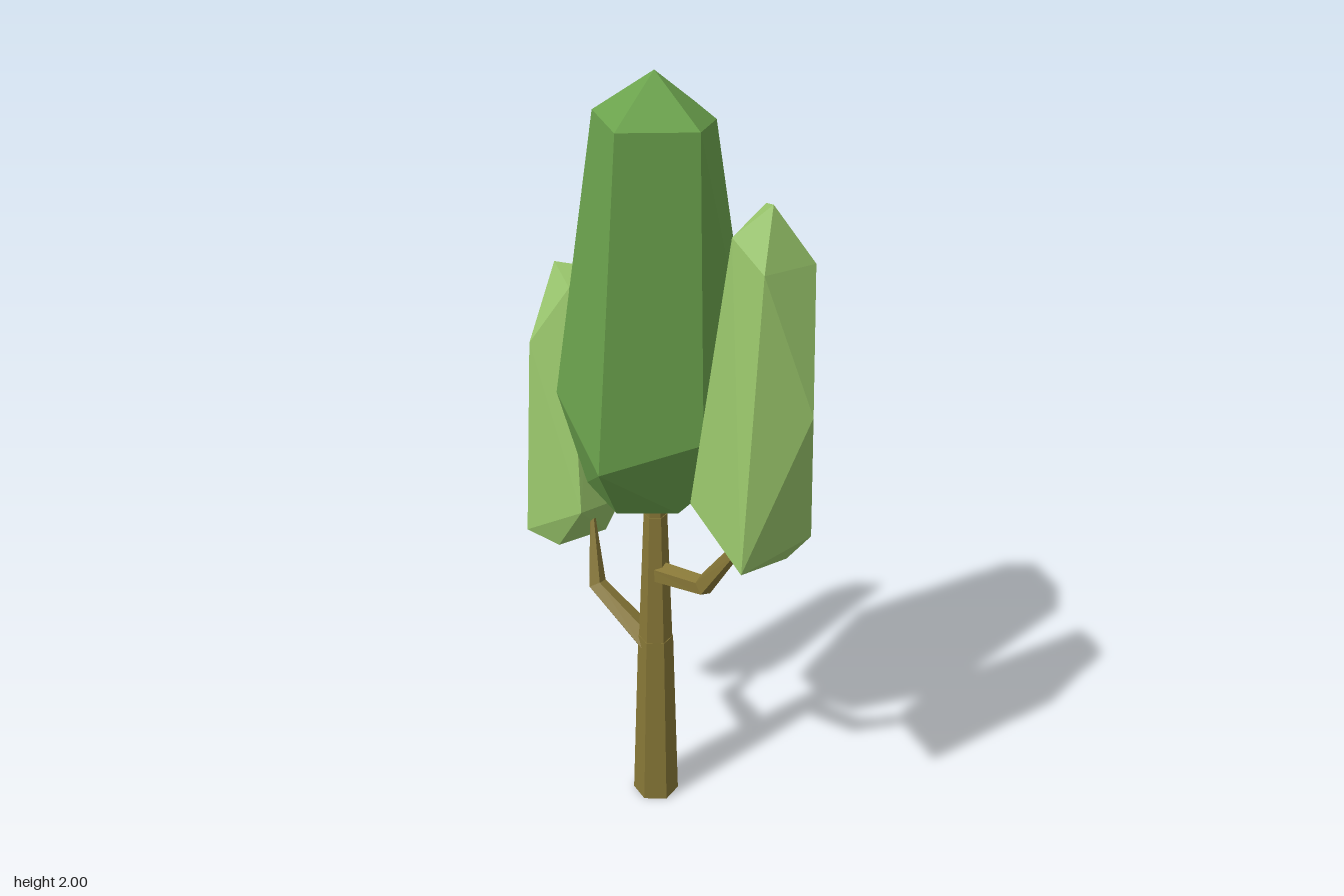
import * as THREE from 'three';
import { ConvexGeometry } from 'three/addons/geometries/ConvexGeometry.js';

const mat = (name, color) => {
  const m = new THREE.MeshStandardMaterial({ color, flatShading: true });
  m.name = name;
  return m;
};

// Faceted foliage clump from its corner points
function clump(name, corners, material) {
  const geo = new ConvexGeometry(corners.map((p) => new THREE.Vector3(...p)));
  const mesh = new THREE.Mesh(geo, material);
  mesh.name = name;
  return mesh;
}

// Tapered bent limb: a ring of corners around each path point
function limb(name, path, radii, material, sides = 5) {
  const pts = path.map((p) => new THREE.Vector3(...p));
  const out = pts[pts.length - 1].clone().sub(pts[0]).setY(0);
  const side = new THREE.Vector3(0, 1, 0).cross(out).normalize();
  const pos = [], index = [];
  pts.forEach((p, i) => {
    const before = p.clone().sub(pts[Math.max(i - 1, 0)]).normalize();
    const after = pts[Math.min(i + 1, pts.length - 1)].clone().sub(p).normalize();
    const t = before.add(after).normalize();
    const u = side.clone().addScaledVector(t, -side.dot(t)).normalize();
    const v = t.clone().cross(u);
    for (let k = 0; k < sides; k++) {
      const a = (k / sides) * Math.PI * 2;
      const q = p.clone().addScaledVector(u, Math.cos(a) * radii[i]).addScaledVector(v, Math.sin(a) * radii[i]);
      pos.push(q.x, q.y, q.z);
    }
  });
  for (let i = 0; i < pts.length - 1; i++) {
    for (let k = 0; k < sides; k++) {
      const a = i * sides + k, b = i * sides + ((k + 1) % sides);
      index.push(a, b, b + sides, a, b + sides, a + sides);
    }
  }
  const geo = new THREE.BufferGeometry();
  geo.setAttribute('position', new THREE.Float32BufferAttribute(pos, 3));
  geo.setIndex(index);
  geo.computeVertexNormals();
  const mesh = new THREE.Mesh(geo, material);
  mesh.name = name;
  return mesh;
}

export function createModel() {
  const tree = new THREE.Group();
  tree.name = 'tree';
  const bark = mat('bark', 0x877737);
  const darkLeaf = mat('darkLeaf', 0x6ba24d);
  const lightLeaf = mat('lightLeaf', 0x99c66b);

  // Six-sided trunk in three stacked lengths
  const trunk = new THREE.Group();
  trunk.name = 'trunk';
  [[0, 0.505, 0.061, 0.046], [0.505, 0.875, 0.044, 0.03], [0.875, 0.99, 0.028, 0.026]].forEach(([y0, y1, r0, r1], i) => {
    const geo = new THREE.CylinderGeometry(r1, r0, y1 - y0, 6);
    geo.rotateY(Math.PI / 2);
    const part = new THREE.Mesh(geo, bark);
    part.name = 'trunkSection' + (i + 1);
    part.position.set(-0.019, (y0 + y1) / 2, -0.025);
    trunk.add(part);
  });
  tree.add(trunk);

  // Branches
  tree.add(limb('leftBranch', [[-0.02, 0.705, -0.025], [0.105, 0.735, 0.09], [0.185, 0.87, 0.135]], [0.03, 0.028, 0.016], bark));
  tree.add(limb('rightBranch', [[-0.02, 0.465, -0.025], [-0.18, 0.595, -0.135], [-0.19, 0.77, -0.18]], [0.036, 0.026, 0.008], bark));

  // Tall central crown: tip, shoulder ring, widest ring, base ring
  tree.add(clump('mainCrown', [
    [-0.02, 2, -0.03],
    [-0.16, 1.91, -0.03], [-0.04, 1.89, -0.175], [0.07, 1.89, -0.175],
    [0.12, 1.89, -0.03], [0.085, 1.9, 0.11], [-0.1, 1.91, 0.155],
    [-0.26, 1.21, -0.03], [-0.11, 1.17, -0.275], [0.09, 1.17, -0.187],
    [0.23, 1.17, -0.03], [0.1, 1.17, 0.17], [-0.143, 1.12, 0.235],
    [-0.19, 0.96, -0.03], [-0.09, 0.955, -0.15], [0.05, 0.955, -0.14],
    [0.12, 0.95, -0.03], [0.04, 0.935, 0.08], [-0.11, 0.945, 0.1],
  ], darkLeaf));

  // Front clump on the left branch
  tree.add(clump('leftClump', [
    [0.242, 1.78, 0.23],
    [0.155, 1.7, 0.215], [0.23, 1.755, 0.145], [0.34, 1.64, 0.21], [0.225, 1.64, 0.288],
    [0.345, 1.3, 0.28],
    [0.07, 1.02, 0.18], [0.19, 1.03, 0.037], [0.23, 1.05, 0.05],
    [0.36, 0.94, 0.19], [0.19, 0.93, 0.355],
    [0.17, 0.85, 0.15], [0.19, 0.84, 0.12], [0.305, 0.865, 0.17],
  ], lightLeaf));

  // Rear clump on the right branch
  tree.add(clump('rightClump', [
    [-0.28, 1.45, -0.29], [-0.175, 1.43, -0.3], [-0.25, 1.25, -0.355],
    [-0.345, 1.25, -0.235], [-0.24, 1.4, -0.235],
    [-0.365, 0.73, -0.185], [-0.215, 0.82, -0.118], [-0.115, 0.815, -0.21], [-0.12, 0.95, -0.265],
    [-0.28, 0.695, -0.165], [-0.16, 0.695, -0.25], [-0.25, 0.73, -0.315],
  ], lightLeaf));

  return tree;
}
